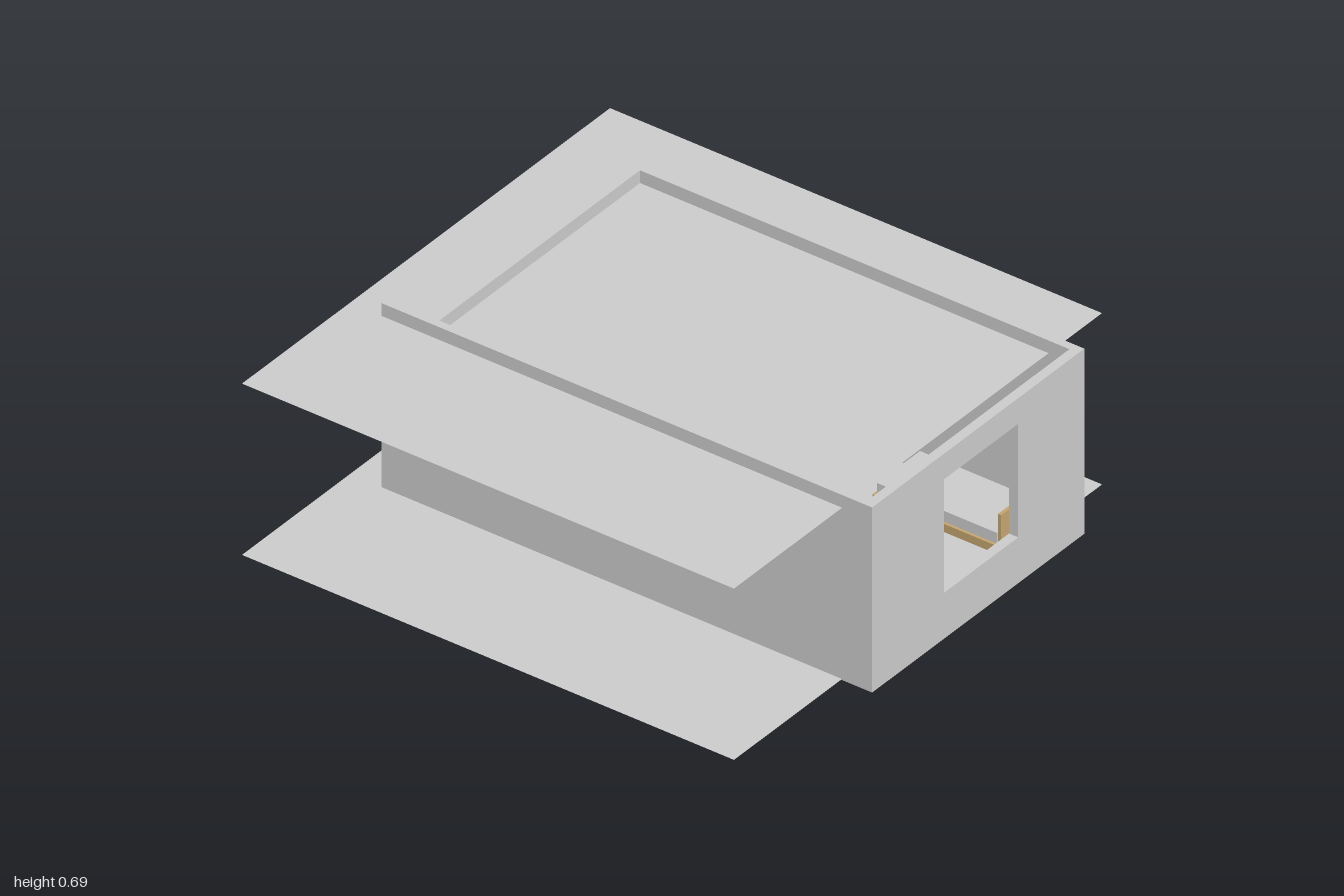
import * as THREE from 'three';

const H = 0.685; // wall height
const grey = new THREE.MeshStandardMaterial({ color: 0xcccccc, side: THREE.DoubleSide });
const wood = new THREE.MeshStandardMaterial({ color: 0xc4a570 });
const dark = new THREE.MeshStandardMaterial({ color: 0x444444 });

function add(parent, name, geometry, material = grey) {
  const mesh = new THREE.Mesh(geometry, material);
  mesh.name = name;
  parent.add(mesh);
  return mesh;
}

// Box given by its limits on each axis
function box(parent, name, [x0, x1], [y0, y1], [z0, z1], material = grey) {
  const mesh = add(parent, name, new THREE.BoxGeometry(x1 - x0, y1 - y0, z1 - z0), material);
  mesh.position.set((x0 + x1) / 2, (y0 + y1) / 2, (z0 + z1) / 2);
  return mesh;
}

// Upright wall with one rectangular opening
function wallWithOpening(parent, name, [x0, x1], [z0, z1], [a, b, c, d]) {
  const shape = new THREE.Shape([[x0, 0], [x1, 0], [x1, H], [x0, H]].map(p => new THREE.Vector2(...p)));
  shape.holes.push(new THREE.Path([[a, c], [a, d], [b, d], [b, c]].map(p => new THREE.Vector2(...p))));
  const geometry = new THREE.ExtrudeGeometry(shape, { depth: z1 - z0, bevelEnabled: false });
  add(parent, name, geometry).position.z = z0;
}

// Large thin sheet
function sheet(parent, name, y) {
  const mesh = add(parent, name, new THREE.PlaneGeometry(1.89, 1.885).rotateX(-Math.PI / 2));
  mesh.position.set(0, y, -0.0575);
}

// Table top or bed frame on four square legs
function onLegs(parent, name, x, [y0, y1], z, material) {
  const group = new THREE.Group();
  group.name = name;
  parent.add(group);
  box(group, name + 'Top', x, [y0, y1], z, material);
  for (const lx of [x[0], x[1] - 0.012])
    for (const lz of [z[0], z[1] - 0.012])
      box(group, name + 'Leg', [lx, lx + 0.012], [0.006, y0], [lz, lz + 0.012], dark);
  return group;
}

export function createModel() {
  const model = new THREE.Group();
  model.name = 'room';

  // Shell
  const shell = new THREE.Group();
  shell.name = 'shell';
  model.add(shell);
  sheet(shell, 'groundSheet', 0.004);
  sheet(shell, 'ceilingSheet', 0.638);
  box(shell, 'floorSlab', [-0.385, 0.695], [0.001, 0.007], [-0.7, 0.995]);
  box(shell, 'leftWall', [0.67, 0.70], [0, H], [-0.68, 0.965]);
  box(shell, 'rightWall', [-0.39, -0.36], [0, H], [-0.68, 0.965]);
  box(shell, 'backBay', [-0.39, 0.13], [0, H], [-0.88, -0.68]);
  wallWithOpening(shell, 'frontWall', [-0.39, 0.70], [0.965, 1.0], [-0.02, 0.36, 0.17, 0.59]);
  wallWithOpening(shell, 'backWall', [0.13, 0.70], [-0.713, -0.68], [0.405, 0.61, 0.008, 0.49]);
  box(shell, 'door', [0.405, 0.61], [0.008, 0.49], [-0.7, -0.685]);

  // Cabinet and desk along the right wall
  box(model, 'cabinet', [-0.36, -0.27], [0.007, 0.22], [0.5, 0.965], wood);
  onLegs(model, 'desk', [-0.27, -0.18], [0.175, 0.19], [0.5, 0.93], wood);

  // Bed by the left wall
  const bed = onLegs(model, 'bed', [0.39, 0.63], [0.05, 0.08], [0.42, 0.9], wood);
  box(bed, 'mattress', [0.4, 0.62], [0.08, 0.12], [0.43, 0.89]);
  box(bed, 'headboard', [0.39, 0.63], [0.007, 0.2], [0.9, 0.912], wood);

  // Counter with wall unit at the back
  box(model, 'counter', [-0.355, 0.1], [0.007, 0.215], [-0.68, -0.54]);
  box(model, 'counterBox', [-0.1, 0.085], [0.215, 0.295], [-0.67, -0.58]);
  box(model, 'wallUnit', [-0.355, 0.1], [0.41, 0.585], [-0.68, -0.6]);

  // Round tub with an arched handle
  const tub = add(model, 'tub', new THREE.CylinderGeometry(0.115, 0.115, 0.388, 32));
  tub.position.set(0.245, 0.201, -0.53);
  const arch = new THREE.CatmullRomCurve3([[-0.033, 0], [-0.033, 0.085], [0, 0.118], [0.033, 0.085], [0.033, 0]]
    .map(([x, y]) => new THREE.Vector3(x, y, 0)));
  add(model, 'archHandle', new THREE.TubeGeometry(arch, 32, 0.006, 8)).position.set(0.25, 0.395, -0.53);

  // Chair in front of the tub
  const chair = onLegs(model, 'chair', [0.18, 0.33], [0.12, 0.14], [-0.35, -0.2], grey);
  box(chair, 'chairBack', [0.18, 0.33], [0.14, 0.31], [-0.35, -0.335]);
  for (const x of [0.13, 0.33])
    box(chair, 'armrest', [x, x + 0.05], [0.2, 0.225], [-0.35, -0.22], x < 0.2 ? dark : grey);

  return model;
}
